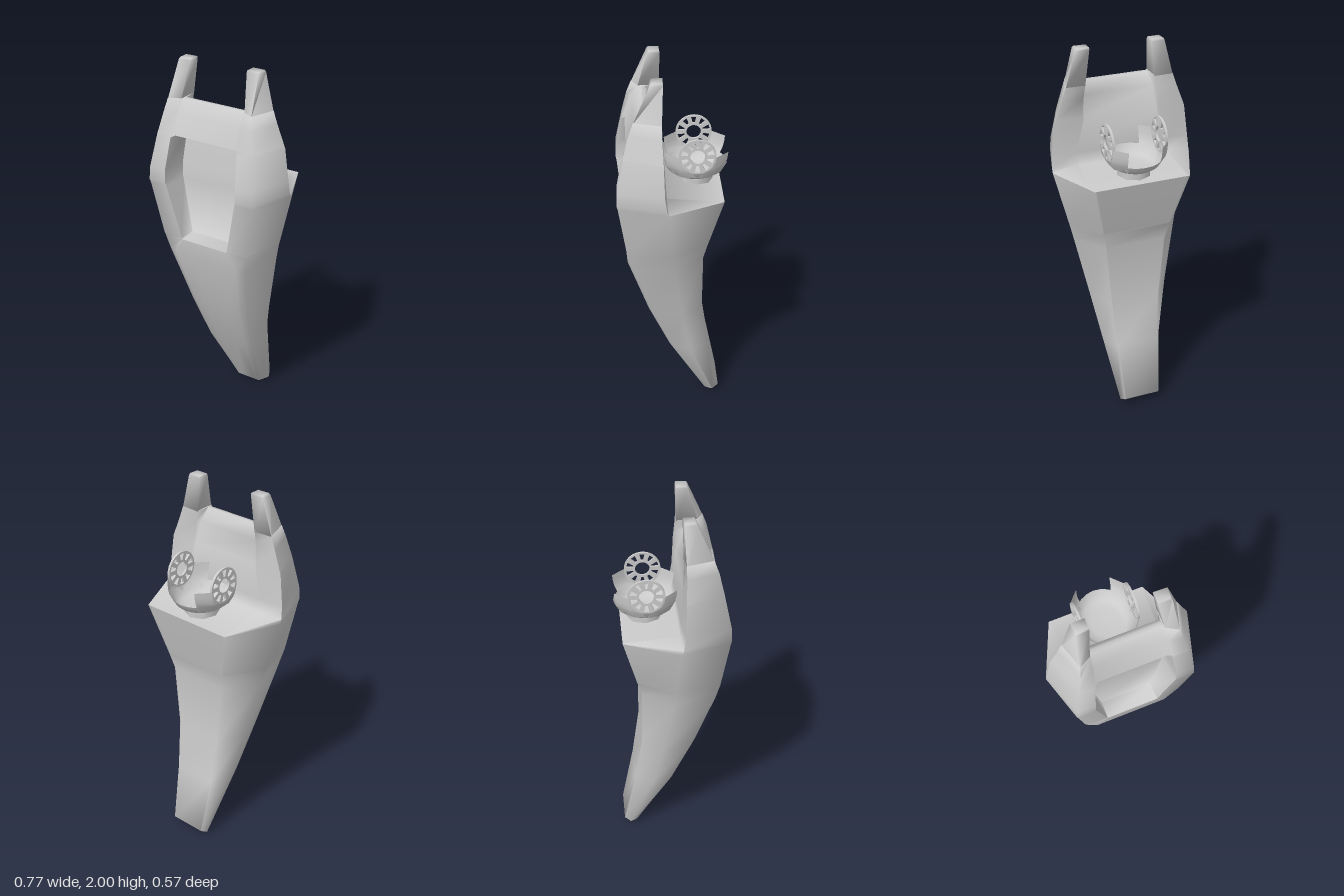
import * as THREE from 'three';
import { toCreasedNormals } from 'three/addons/utils/BufferGeometryUtils.js';

const grey = new THREE.MeshStandardMaterial({ color: 0xcccccc });
const greyThin = new THREE.MeshStandardMaterial({ color: 0xcccccc, side: THREE.DoubleSide });

function add(parent, name, geometry, material = grey) {
  const mesh = new THREE.Mesh(geometry, material);
  mesh.name = name;
  parent.add(mesh);
  return mesh;
}

// Skin a stack of closed loops (each clockwise seen from above) and cap both ends.
function loft(loops, crease) {
  const n = loops[0].length;
  const index = [];
  for (let l = 0; l < loops.length - 1; l++) {
    for (let i = 0; i < n; i++) {
      const a = l * n + i, b = l * n + (i + 1) % n;
      index.push(a, a + n, b, b, a + n, b + n);
    }
  }
  for (const [l, facing] of [[0, -1], [loops.length - 1, 1]]) {
    const flat = loops[l].map(p => new THREE.Vector2(p[0], p[2]));
    for (const [a, b, c] of THREE.ShapeUtils.triangulateShape(flat, [])) {
      const up = -Math.sign(THREE.ShapeUtils.area([flat[a], flat[b], flat[c]]));
      const o = l * n;
      if (up === facing) index.push(o + a, o + b, o + c);
      else index.push(o + a, o + c, o + b);
    }
  }
  const g = new THREE.BufferGeometry();
  g.setAttribute('position', new THREE.Float32BufferAttribute(loops.flat(2), 3));
  g.setIndex(index);
  return toCreasedNormals(g, crease);
}

// Half section: inner back, back, side, front outer, front inner, recess; mirrored to a full loop.
function section([y, [xb, zb], [xs, zs], [xf, zf], [xi, zi], [xr, zr], { lift = 0, ridge = zb } = {}]) {
  const half = [[xb * 0.95, y + lift, ridge], [xb, y + lift, zb], [xs, y + lift / 2, zs],
    [xf, y + lift / 4, zf], [xi, y, zi], [xr, y, zr]];
  return [...half, ...half.map(([x, yy, z]) => [-x, yy, z]).reverse()];
}

function buildHull() {
  const lower = [
    [0.00, [0.10, -0.265], [0.115, -0.23], [0.09, -0.20], [0.07, -0.19], [0.04, -0.19], { lift: 0.04 }],
    [0.36, [0.12, -0.20], [0.168, -0.10], [0.14, 0.00], [0.11, 0.015], [0.06, 0.02]],
    [0.63, [0.14, -0.16], [0.22, -0.05], [0.18, 0.11], [0.14, 0.13], [0.08, 0.13]],
    [0.97, [0.17, -0.16], [0.29, 0.00], [0.24, 0.22], [0.19, 0.24], [0.10, 0.24]],
  ];
  // Cockpit opening with a level sill; the rear deck steps in at the widest level.
  const cockpit = [
    [1.06, [0.19, -0.18], [0.31, 0.01], [0.26, 0.24], [0.14, 0.25], [0.138, 0.25]],
    [1.07, [0.192, -0.183], [0.313, 0.01], [0.262, 0.243], [0.143, 0.251], [0.138, 0.16]],
    [1.36, [0.26, -0.255], [0.385, 0.03], [0.31, 0.283], [0.21, 0.283], [0.205, 0.14]],
    [1.38, [0.25, 0.035], [0.385, 0.04], [0.315, 0.287], [0.215, 0.287], [0.21, 0.14]],
    [1.45, [0.25, 0.04], [0.38, 0.05], [0.31, 0.285], [0.215, 0.285], [0.21, 0.135]],
    [1.62, [0.21, 0.05], [0.36, 0.055], [0.285, 0.25], [0.20, 0.25], [0.195, 0.115]],
  ];
  // Header bar, sloping up from both sides to a ridge between the horns
  const header = [
    [1.63, [0.21, 0.05], [0.356, 0.055], [0.283, 0.248], [0.20, 0.245], [0.18, 0.235], { ridge: 0.055 }],
    [1.74, [0.20, 0.055], [0.315, 0.06], [0.26, 0.222], [0.195, 0.205], [0.18, 0.195], { ridge: 0.088 }],
    [1.805, [0.19, 0.055], [0.292, 0.06], [0.25, 0.198], [0.19, 0.165], [0.18, 0.15], { ridge: 0.13 }],
  ];
  return loft([...lower, ...cockpit, ...header].map(section), 1.5);
}

// Tapered horn continuing each side rail above the cockpit header.
function buildHorn(side) {
  const rows = [
    [1.80, [0.19, 0.055], [0.292, 0.06], [0.25, 0.198], [0.19, 0.165]],
    [1.99, [0.167, 0.05], [0.24, 0.052], [0.237, 0.115], [0.167, 0.112]],
    [2.00, [0.167, 0.052], [0.235, 0.054], [0.232, 0.108], [0.167, 0.106]],
  ];
  return loft(rows.map(([y, ...points]) => {
    const loop = points.map(([x, z]) => [side * x, y, z]);
    return side > 0 ? loop : loop.reverse();
  }), 1.7);
}

// Pierced disc with radial slots, facing along x.
function buildDisc() {
  const shape = new THREE.Shape().absarc(0, 0, 0.095, 0, Math.PI * 2);
  shape.holes.push(new THREE.Path().absarc(0, 0, 0.038, 0, Math.PI * 2, true));
  const slots = 10;
  for (let i = 0; i < slots; i++) {
    const a = (i + 0.5) / slots * Math.PI * 2;
    const corner = (r, d) => new THREE.Vector2(Math.cos(a + d) * r, Math.sin(a + d) * r);
    shape.holes.push(new THREE.Path([
      corner(0.05, -0.12), corner(0.05, 0.12), corner(0.086, 0.17), corner(0.086, -0.17)]));
  }
  return new THREE.ExtrudeGeometry(shape, { depth: 0.012, bevelEnabled: false, curveSegments: 20 })
    .translate(0, 0, -0.006).rotateY(Math.PI / 2);
}

// Curved cheek that follows the disc's edge and closes the corner of the cup.
function buildCheek(sx, sz) {
  const rows = [[1.555, 0.15, 0.092, 0.09, 0.16], [1.52, 0.15, 0.084, 0.09, 0.156],
    [1.49, 0.149, 0.062, 0.09, 0.149], [1.466, 0.147, 0, 0.086, 0.138],
    [1.43, 0.132, 0, 0.075, 0.122]];
  const pos = [], index = [];
  rows.forEach(([y, xo, zo, xi, zi], r) => {
    // Middle point keeps the chamfered corner
    pos.push(sx * xo, y, sz * zo, sx * (xo - 0.003), y, sz * (zi - 0.062), sx * xi, y, sz * zi);
    if (r) {
      for (const a of [r * 3 - 3, r * 3 - 2]) index.push(a, a + 3, a + 1, a + 1, a + 3, a + 4);
    }
  });
  const g = new THREE.BufferGeometry();
  g.setAttribute('position', new THREE.Float32BufferAttribute(pos, 3));
  g.setIndex(index);
  g.computeVertexNormals();
  return g;
}

export function createModel() {
  const model = new THREE.Group();
  model.name = 'model';
  add(model, 'hull', buildHull());
  for (const side of [1, -1]) add(model, side > 0 ? 'leftHorn' : 'rightHorn', buildHorn(side));

  // Open cup with two pierced discs on the rear deck
  const turret = new THREE.Group();
  turret.name = 'turret';
  turret.position.z = -0.125;
  add(turret, 'pedestal', new THREE.CylinderGeometry(0.092, 0.092, 0.06, 8).translate(0, 1.368, 0));
  const profile = [[0, 1.402], [0.08, 1.403], [0.12, 1.412], [0.145, 1.43], [0.162, 1.462]]
    .map(p => new THREE.Vector2(...p));
  const cup = add(turret, 'cup', new THREE.LatheGeometry(profile, 24), greyThin);
  cup.scale.x = 0.91;
  for (const sx of [1, -1]) {
    add(turret, 'disc', buildDisc()).position.set(sx * 0.143, 1.558, 0);
    for (const sz of [1, -1]) add(turret, 'cheek', buildCheek(sx, sz), greyThin);
  }
  model.add(turret);
  return model;
}
